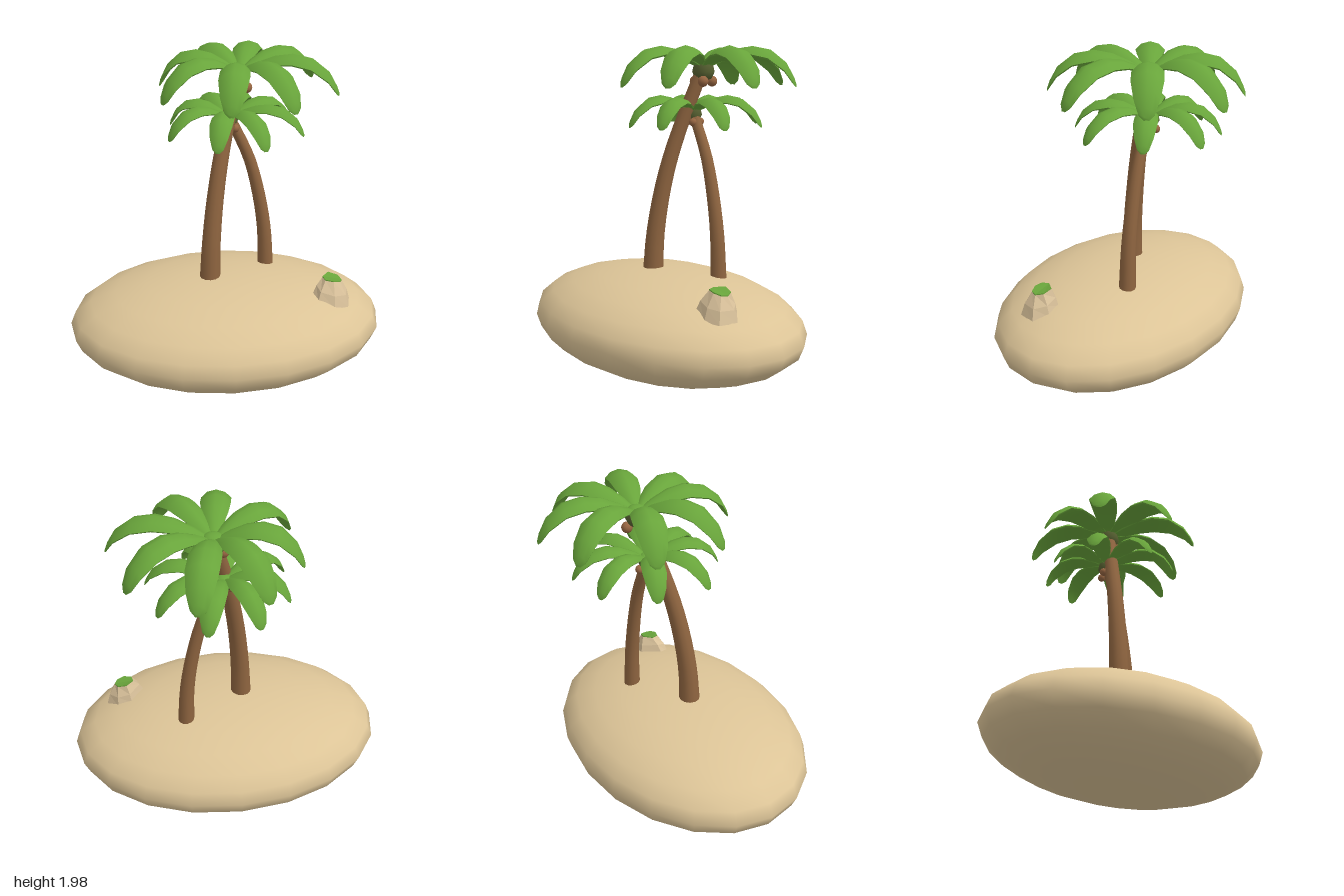
import * as THREE from 'three';
import { toCreasedNormals } from 'three/addons/utils/BufferGeometryUtils.js';

const mat = (name, color) => {
  const m = new THREE.MeshStandardMaterial({ color });
  m.name = name;
  return m;
};

// Joins equal-sized rings of points into a closed skin, capped at both ends
function loft(rings) {
  const n = rings[0].length, index = [];
  rings.forEach((ring, i) => {
    if (i === rings.length - 1) return;
    for (let j = 0; j < n; j++) {
      const a = i * n + j, b = i * n + (j + 1) % n;
      index.push(a, b, a + n, b, b + n, a + n);
    }
  });
  const end = (rings.length - 1) * n;
  for (let j = 1; j < n - 1; j++) {
    index.push(0, j + 1, j, end, end + j, end + j + 1);
  }
  const g = new THREE.BufferGeometry();
  g.setAttribute('position', new THREE.Float32BufferAttribute(rings.flat(2), 3));
  g.setIndex(index);
  return g;
}

// Arched frond along +x: ridge on top, drooping sides, hollow underside
function frondGeometry() {
  // distance, ridge height, half width, side droop
  const sections = [
    [0.02, 0.0, 0.025, 0.01], [0.1, 0.047, 0.05, 0.025], [0.2, 0.09, 0.075, 0.04],
    [0.3, 0.107, 0.086, 0.048], [0.41, 0.085, 0.086, 0.05], [0.505, 0.01, 0.068, 0.045],
    [0.55, -0.07, 0.043, 0.03], [0.565, -0.11, 0.015, 0.012],
  ];
  const rings = sections.map(([x, y, w, d]) => [
    [x, y - d, -w], [x, y - d * 0.3, -w * 0.6], [x, y, 0], [x, y - d * 0.3, w * 0.6],
    [x, y - d, w], [x, y - d - 0.008, w * 0.92],
    [x, y - d * 0.6 - 0.012, 0], [x, y - d - 0.008, -w * 0.92],
  ]);
  return toCreasedNormals(loft(rings), 0.9);
}

// Round trunk that tapers along a curved path
function trunkGeometry(points, baseRadius, topRadius) {
  const curve = new THREE.CatmullRomCurve3(points.map(p => new THREE.Vector3(...p)));
  const steps = 14, sides = 12;
  const g = new THREE.TubeGeometry(curve, steps, 1, sides);
  const pos = g.attributes.position, v = new THREE.Vector3();
  for (let i = 0; i <= steps; i++) {
    const t = i / steps, c = curve.getPointAt(t);
    const r = THREE.MathUtils.lerp(baseRadius, topRadius, Math.pow(t, 0.7));
    for (let j = 0; j <= sides; j++) {
      const k = i * (sides + 1) + j;
      v.fromBufferAttribute(pos, k).sub(c).multiplyScalar(r).add(c);
      pos.setXYZ(k, v.x, v.y, v.z);
    }
  }
  return g;
}

export function createModel() {
  const model = new THREE.Group();
  model.name = 'palmIsland';
  const sand = mat('sand', 0xdcc497);
  const rockColor = mat('rock', 0xdac29b);
  const bark = mat('bark', 0x8f6540);
  const leaf = mat('leafGreen', 0x69a53b);
  const husk = mat('huskGreen', 0x586232);
  const nut = mat('coconutBrown', 0x976642);

  const add = (parent, name, geometry, material, x = 0, y = 0, z = 0) => {
    const m = new THREE.Mesh(geometry, material);
    m.name = name;
    m.position.set(x, y, z);
    parent.add(m);
    return m;
  };

  // Island
  add(model, 'island', new THREE.SphereGeometry(1, 20, 12), sand, 0, 0.322, 0.03)
    .scale.set(0.99, 0.313, 0.71);

  // Palms
  const frond = frondGeometry();
  const heart = new THREE.SphereGeometry(0.06, 12, 4, 0, Math.PI * 2, 0, Math.PI / 2);
  const huskShape = new THREE.LatheGeometry(
    [[0, -0.1], [0.05, -0.085], [0.07, -0.045], [0.06, 0]].map(p => new THREE.Vector2(...p)), 12);
  const coconut = new THREE.SphereGeometry(0.033, 12, 8);
  // direction in degrees (from +x towards +z), length factor
  const fronds = [[-115, 0.95], [-75, 1.0], [-30, 1.0], [16, 1.06],
    [63, 1.02], [100, 0.99], [150, 0.95], [198, 0.88]];

  function palm(name, path, baseRadius, topRadius, crownPos, size, turn) {
    const g = new THREE.Group();
    g.name = name;
    model.add(g);
    add(g, 'trunk', trunkGeometry(path, baseRadius, topRadius), bark);
    const crown = new THREE.Group();
    crown.name = 'crown';
    crown.position.set(...crownPos);
    crown.scale.setScalar(size);
    g.add(crown);
    add(crown, 'crownHeart', heart, leaf, 0, -0.005, 0).scale.y = 0.5;
    add(crown, 'crownHusk', huskShape, husk);
    for (const [deg, len] of fronds) {
      const f = add(crown, 'frond', frond, leaf);
      f.rotation.y = -THREE.MathUtils.degToRad(deg + turn);
      f.scale.set(len, 1, 1);
    }
    for (const deg of [45, 165, 285]) {
      const a = THREE.MathUtils.degToRad(deg);
      add(crown, 'coconut', coconut, nut, 0.06 * Math.cos(a), -0.1, 0.06 * Math.sin(a));
    }
  }

  palm('tallPalm', [[-0.1, 0.58, 0.04], [-0.09, 0.83, 0.03], [-0.067, 1.08, 0],
    [-0.035, 1.3, -0.04], [0.005, 1.5, -0.09], [0.05, 1.68, -0.14], [0.1, 1.86, -0.19]],
  0.067, 0.04, [0.1, 1.885, -0.195], 1, 0);
  palm('shortPalm', [[0.28, 0.56, -0.165], [0.265, 0.85, -0.165], [0.225, 1.1, -0.165],
    [0.165, 1.33, -0.165], [0.09, 1.5, -0.165], [0.04, 1.6, -0.165]],
  0.053, 0.032, [0.04, 1.615, -0.17], 0.77, 4);

  // Rock resting on the slope, with a flat mossy top
  const foot = [[0.53, 0.57, 0.21], [0.55, 0.54, 0.28], [0.65, 0.505, 0.31],
    [0.74, 0.5, 0.28], [0.77, 0.5, 0.17], [0.7, 0.52, 0.1], [0.61, 0.55, 0.1]];
  const top = [[0.59, 0.662, 0.18], [0.6, 0.66, 0.225], [0.65, 0.655, 0.24],
    [0.695, 0.645, 0.225], [0.71, 0.64, 0.19], [0.69, 0.65, 0.145], [0.635, 0.665, 0.13]];
  const middle = foot.map((p, i) => p.map((c, k) => c + (top[i][k] - c) * (k === 1 ? 0.5 : 0.35)));
  const flat = g => {
    const f = g.toNonIndexed();
    f.computeVertexNormals();
    return f;
  };
  const lift = (ring, dy) => ring.map(([x, y, z]) => [x, y + dy, z]);
  const rock = new THREE.Group();
  rock.name = 'rock';
  model.add(rock);
  add(rock, 'stone', flat(loft([foot, middle, top])), rockColor);
  add(rock, 'mossTop', flat(loft([top, lift(top, 0.006)])), leaf);

  return model;
}
